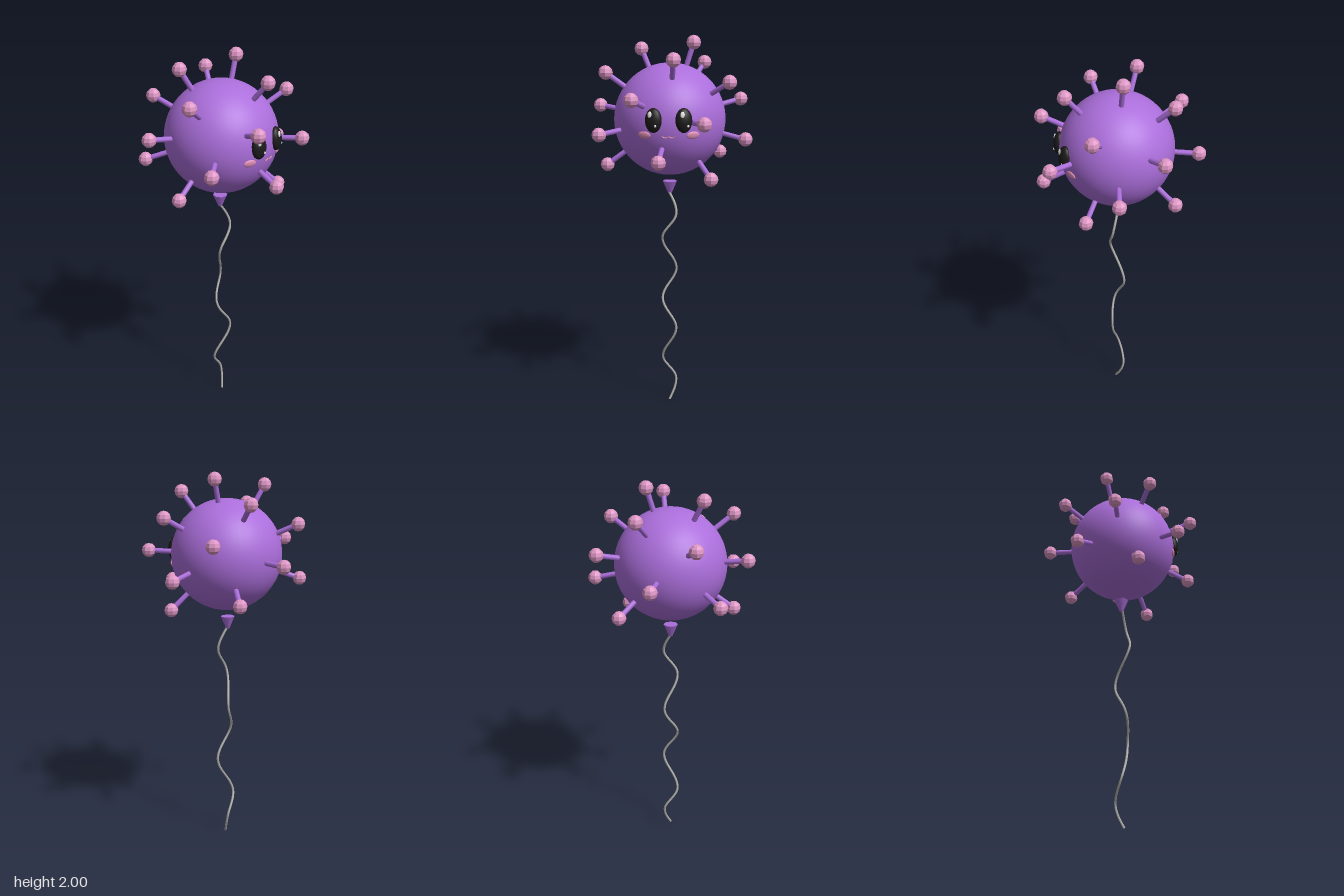
import * as THREE from 'three';

const CENTER = new THREE.Vector3(-0.008, 1.575, 0.007);
const RADIUS = 0.288;
const Y = new THREE.Vector3(0, 1, 0);
const Z = new THREE.Vector3(0, 0, 1);

function material(name, color, flatShading = false) {
  const m = new THREE.MeshStandardMaterial({ color, flatShading });
  m.name = name;
  return m;
}

function part(name, geometry, mat, parent) {
  const mesh = new THREE.Mesh(geometry, mat);
  mesh.name = name;
  parent.add(mesh);
  return mesh;
}

// Put an object on the front of the ball, facing outward
function placeOnBall(object, dx, dy) {
  const n = new THREE.Vector3(dx, dy, Math.sqrt(RADIUS ** 2 - dx * dx - dy * dy)).normalize();
  object.position.copy(CENTER).addScaledVector(n, RADIUS);
  object.quaternion.setFromUnitVectors(Z, n);
}

// Wavy string path: smooth swings in x between turning points, slower sway in z
class StringCurve extends THREE.Curve {
  getPoint(t, target = new THREE.Vector3()) {
    const turns = [-0.11, 0.11, 0.25, 0.44, 0.6, 0.76, 0.945, 1.085, 1.29];
    const y = t * 1.19;
    let i = 0;
    while (i < turns.length - 2 && y > turns[i + 1]) i++;
    const phase = i + (y - turns[i]) / (turns[i + 1] - turns[i]);
    const x = -0.01 - 0.037 * Math.cos(Math.PI * phase);
    const z = 0.01 - 0.034 * Math.cos((2 * Math.PI * (y - 0.16)) / 0.58);
    return target.set(x, y, z);
  }
}

export function createModel() {
  const model = new THREE.Group();
  model.name = 'spikyBalloon';

  const purple = material('purple', 0xab6edb);
  const pink = material('pink', 0xdd95c4, true);
  const blush = material('blush', 0xe08fb8);
  const black = material('black', 0x1c1a1a);
  const white = material('white', 0xffffff);
  const grey = material('stringGrey', 0xb0aea8);

  // Balloon ball
  part('ball', new THREE.SphereGeometry(RADIUS, 48, 32), purple, model).position.copy(CENTER);

  // Spikes spread in a golden spiral from the top, leaving the underside free
  const stemGeo = new THREE.CylinderGeometry(0.0135, 0.0135, 0.13, 8);
  const knobGeo = new THREE.SphereGeometry(0.037, 8, 6);
  const spikes = new THREE.Group();
  spikes.name = 'spikes';
  model.add(spikes);
  const golden = Math.PI * (3 - Math.sqrt(5));
  for (let i = 0; i < 19; i++) {
    const y = 1 - (2 * i + 1) / 22;
    const r = Math.sqrt(1 - y * y);
    const dir = new THREE.Vector3(r * Math.cos(i * golden), y, -r * Math.sin(i * golden));
    const stem = part('spikeStem', stemGeo, purple, spikes);
    stem.position.copy(CENTER).addScaledVector(dir, 0.335);
    stem.quaternion.setFromUnitVectors(Y, dir);
    part('spikeKnob', knobGeo, pink, spikes).position.copy(CENTER).addScaledVector(dir, 0.407);
  }

  // Face
  const unit = new THREE.SphereGeometry(1, 24, 16);
  for (const side of [-1, 1]) {
    const eye = new THREE.Group();
    eye.name = side > 0 ? 'leftEye' : 'rightEye';
    model.add(eye);
    placeOnBall(eye, side * 0.074, 0.027);
    part('eyeball', unit, black, eye).scale.set(0.042, 0.06, 0.028);
    const shine = part('eyeShine', unit, white, eye);
    shine.scale.set(0.011, 0.016, 0.005);
    shine.position.set(-0.012, 0.027, 0.0235);
    const glint = part('eyeGlint', unit, white, eye);
    glint.scale.set(0.006, 0.007, 0.004);
    glint.position.set(0.016, -0.027, 0.0225);

    const cheek = part('cheek', unit, blush, model);
    placeOnBall(cheek, side * 0.119, -0.047);
    cheek.scale.set(0.034, 0.019, 0.008);

    // Half of the curled mouth
    const mouth = part('mouthCurl', new THREE.TorusGeometry(0.016, 0.004, 8, 16, Math.PI), blush, model);
    mouth.geometry.rotateZ(Math.PI);
    mouth.scale.y = 0.7;
    placeOnBall(mouth, side * 0.016, -0.047);
  }

  // Tied knot, an upside-down cone hanging under the ball
  const knot = part('knot', new THREE.CylinderGeometry(0.038, 0.01, 0.065, 8), purple, model);
  knot.position.set(-0.008, 1.216, 0);

  // String
  part('string', new THREE.TubeGeometry(new StringCurve(), 140, 0.0065, 6), grey, model);

  return model;
}
